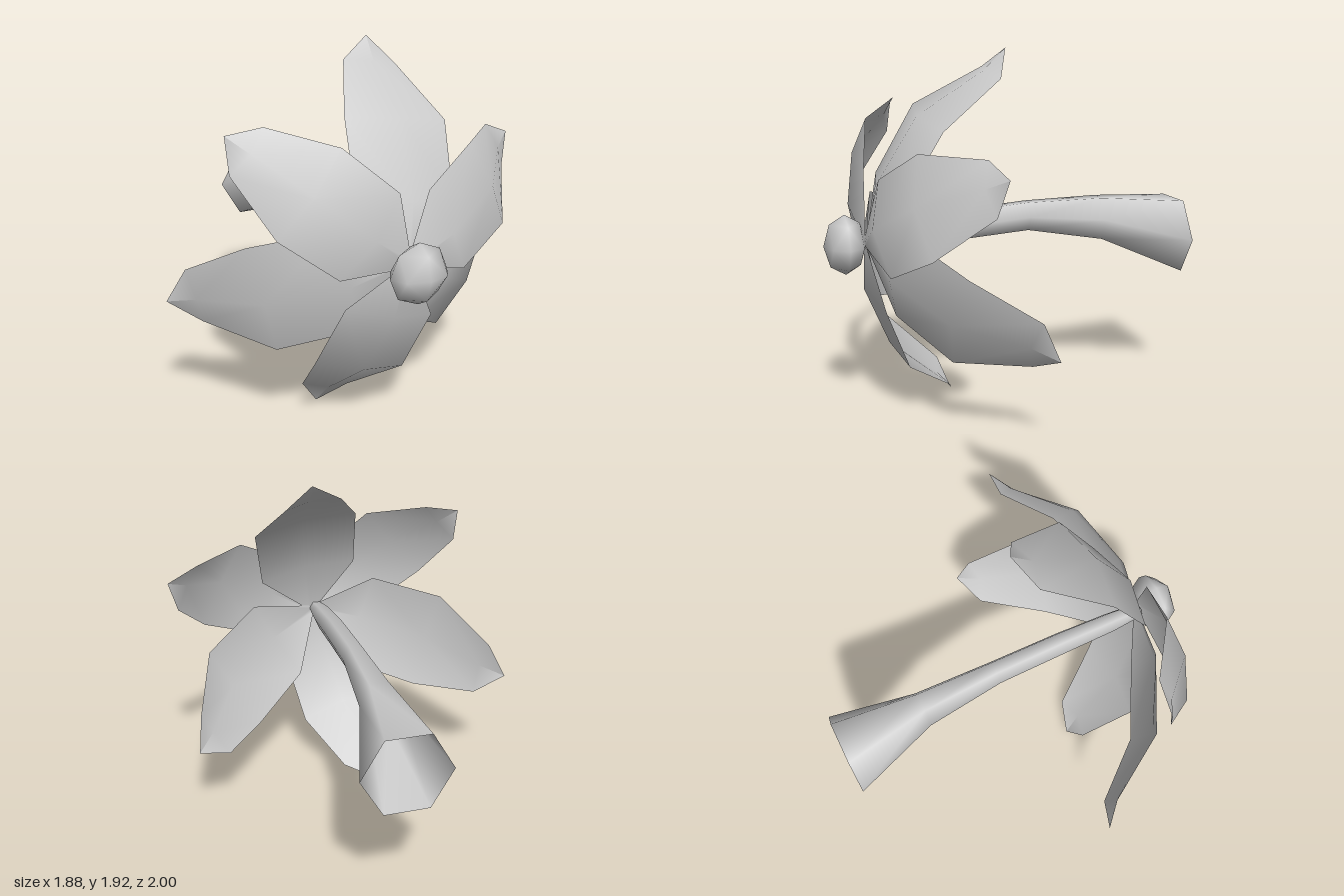
import * as THREE from 'three';

const grey = new THREE.MeshStandardMaterial({ color: 0xcccccc, side: THREE.DoubleSide });
grey.name = 'light grey';

// Smooth surface through rows of points; closed joins each row into a ring
function loft(rows, closed) {
  const n = rows[0].length, index = [];
  for (let i = 0; i < rows.length - 1; i++) {
    for (let j = 0; j < (closed ? n : n - 1); j++) {
      const k = (j + 1) % n;
      const a = i * n + j, b = i * n + k, c = a + n, d = b + n;
      index.push(a, b, c, b, d, c);
    }
  }
  const geo = new THREE.BufferGeometry();
  geo.setAttribute('position', new THREE.Float32BufferAttribute(rows.flat(2), 3));
  geo.setIndex(index);
  geo.computeVertexNormals();
  return geo;
}

// Petal sections: distance from base, depth, half width, how far the edges fall back
const petalSections = [
  [0, 0, 0.02, 0],
  [0.27, 0.01, 0.25, 0.06],
  [0.62, -0.12, 0.26, 0.05],
  [0.865, -0.385, 0.137, 0.04],
  [0.985, -0.468, 0, 0],
];

// Stem sections: z, centre height, half width, vertical radius
const stemSections = [
  [-1, 0.863, 0.232, 0.233],
  [-0.53, 0.985, 0.1, 0.133],
  [-0.1, 1.025, 0.066, 0.087],
  [0.3, 1.0, 0.062, 0.085],
  [0.6, 0.965, 0.055, 0.075],
  [0.79, 0.95, 0.04, 0.045],
];

// Petals: name, direction in degrees, backward tilt in degrees, scale, base z
const petals = [
  ['upperLeftPetal', 26.4, 0, 1, 0.79],
  ['upperRightPetal', 140.5, -7.3, 0.99, 0.79],
  ['lowerPetal', 255.5, 2.5, 1.01, 0.79],
  ['topPetal', 81.6, 9.9, 1.11, 0.78],
  ['lowerRightPetal', 195, 7.8, 1.13, 0.78],
  ['lowerLeftPetal', 330.7, 13, 1.09, 0.78],
];

export function createModel() {
  const flower = new THREE.Group();
  flower.name = 'flower';
  const add = (name, geo) => {
    const mesh = new THREE.Mesh(geo, grey);
    mesh.name = name;
    flower.add(mesh);
    return mesh;
  };

  // Six petals share one arched shape
  const petalGeo = loft(petalSections.map(([r, z, w, drop]) =>
    [[r, w, z - drop], [r, 0, z], [r, -w, z - drop]]), false);
  for (const [name, angle, tilt, scale, z] of petals) {
    const petal = add(name, petalGeo);
    petal.position.set(0.055, 0.95, z);
    petal.rotation.set(0, THREE.MathUtils.degToRad(tilt), THREE.MathUtils.degToRad(angle), 'ZYX');
    petal.scale.setScalar(scale);
  }

  // Bud in the middle
  const bud = add('bud', new THREE.OctahedronGeometry(1, 1));
  bud.position.set(0.045, 0.945, 0.89);
  bud.scale.set(0.157, 0.157, 0.11);

  // Hollow six-sided stem, flared at its open end
  add('stem', loft(stemSections.map(([z, y, rx, ry]) =>
    Array.from({ length: 6 }, (_, i) => {
      const t = i * Math.PI / 3;
      return [0.028 + rx * Math.cos(t), y + ry * Math.sin(t), z];
    })), true));

  return flower;
}
